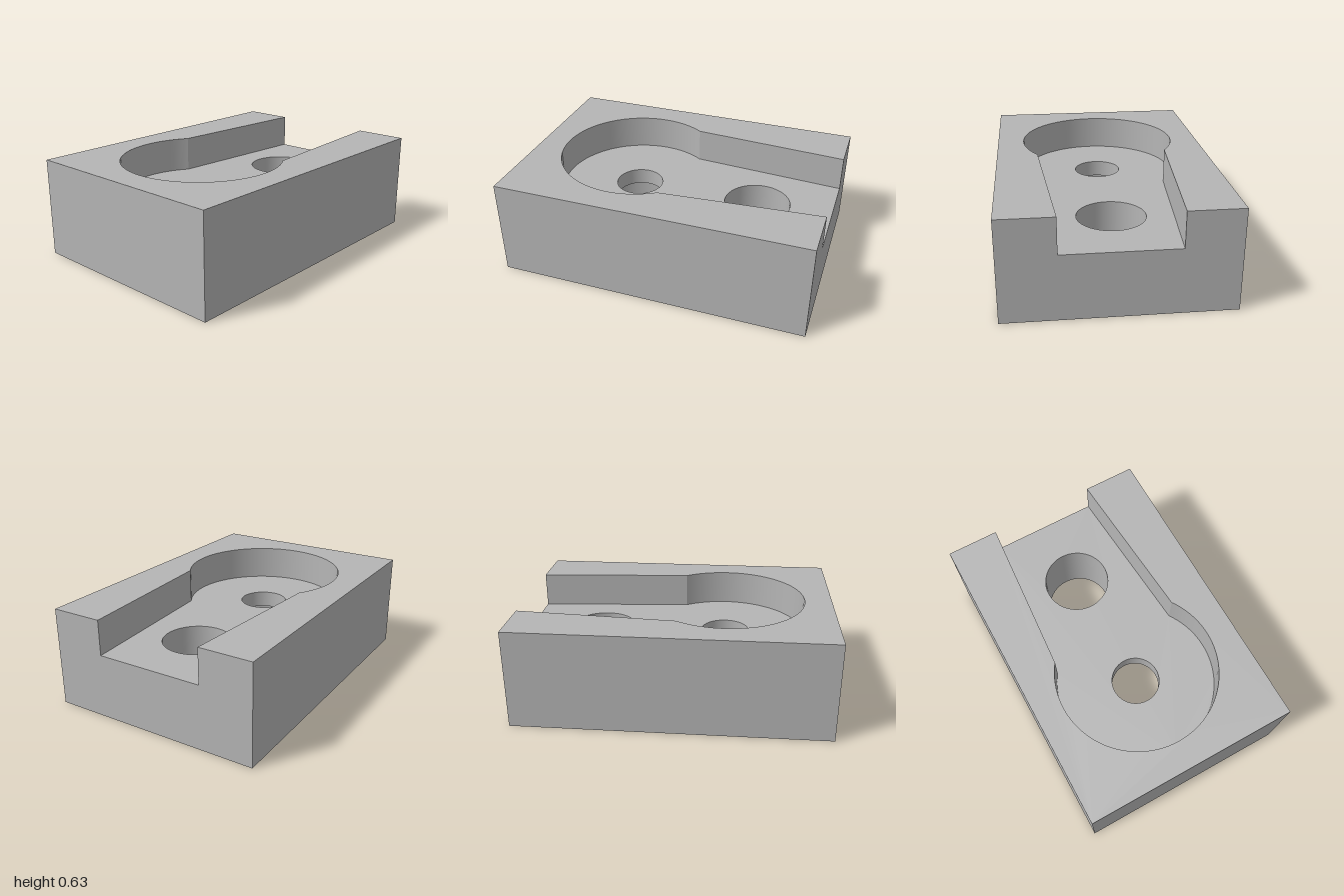
import * as THREE from 'three';

// Block size and pocket layout
const W = 1, D = 0.69, H = 0.635, FLOOR = 0.41;
const CX = -0.31, R = 0.515;              // round end of the pocket
const JX = -0.02, JZ = Math.sqrt(R * R - (JX - CX) ** 2); // where channel meets round end
const EZ = 0.35;                          // channel half width at the open end
const SMALL = 0.155, BORE = 0.317, BORE_TOP = 0.302;
const HX = 0.515, HR = 0.215;             // plain through hole
const SEG = 64;

export function createModel() {
  const model = new THREE.Group();
  model.name = 'pocketedBlock';
  const grey = new THREE.MeshStandardMaterial({ name: 'grey', color: 0xb5b5b5 });

  const add = (name, geometry) => {
    const mesh = new THREE.Mesh(geometry, grey);
    mesh.name = name;
    model.add(mesh);
  };

  // Upright rectangle from a to b, left to right as seen from its front
  const wall = (name, [ax, az], [bx, bz], y0, y1) => {
    const g = new THREE.PlaneGeometry(Math.hypot(bx - ax, bz - az), y1 - y0);
    g.rotateY(Math.atan2(az - bz, bx - ax));
    g.translate((ax + bx) / 2, (y0 + y1) / 2, (az + bz) / 2);
    add(name, g);
  };

  // Turned surface between two (radius, y) points; descending faces inward
  const turned = (name, x, from, to, start = 0, length = Math.PI * 2) => {
    const g = new THREE.LatheGeometry(
      [new THREE.Vector2(...from), new THREE.Vector2(...to)], SEG, start, length);
    g.translate(x, 0, 0);
    add(name, g);
  };

  // Horizontal face at height y
  const level = (name, shape, y, up) => {
    const g = new THREE.ShapeGeometry(shape, SEG / 2);
    g.rotateX(up ? -Math.PI / 2 : Math.PI / 2);
    g.translate(0, y, 0);
    add(name, g);
  };

  const polygon = (points) => new THREE.Shape(points.map((p) => new THREE.Vector2(...p)));
  const punch = (shape, x, r) => {
    shape.holes.push(new THREE.Path().absarc(x, 0, r, 0, Math.PI * 2, true));
  };

  // Outer sides
  wall('frontSide', [-W, D], [W, D], 0, H);
  wall('backSide', [W, -D], [-W, -D], 0, H);
  wall('closedEnd', [-W, -D], [-W, D], 0, H);
  const end = new THREE.ShapeGeometry(polygon([
    [-D, 0], [D, 0], [D, H], [EZ, H], [EZ, FLOOR], [-EZ, FLOOR], [-EZ, H], [-D, H],
  ]));
  end.rotateY(Math.PI / 2);
  end.translate(W, 0, 0);
  add('notchedEnd', end);

  // Rim around the keyhole pocket
  const a = Math.atan2(JZ, JX - CX);
  const rim = new THREE.Shape();
  rim.moveTo(-W, -D).lineTo(W, -D).lineTo(W, -EZ).lineTo(JX, -JZ);
  rim.absarc(CX, 0, R, -a, a, true);
  rim.lineTo(W, EZ).lineTo(W, D).lineTo(-W, D);
  level('topRim', rim, H, true);

  // Pocket floor with both holes
  const floor = new THREE.Shape();
  floor.moveTo(W, -EZ).lineTo(W, EZ).lineTo(JX, JZ);
  floor.absarc(CX, 0, R, a, Math.PI * 2 - a, false);
  punch(floor, CX, SMALL);
  punch(floor, HX, HR);
  level('pocketFloor', floor, FLOOR, true);

  // Pocket walls
  const phi = Math.PI / 2 - a;
  turned('pocketRoundWall', CX, [R, H], [R, FLOOR], Math.PI - phi, Math.PI + 2 * phi);
  wall('channelBackWall', [JX, -JZ], [W, -EZ], FLOOR, H);
  wall('channelFrontWall', [W, EZ], [JX, JZ], FLOOR, H);

  // Underside
  const base = polygon([[-W, -D], [W, -D], [W, D], [-W, D]]);
  punch(base, CX, BORE);
  punch(base, HX, HR);
  level('underside', base, 0, false);

  // Plain hole, and small hole widened from below
  turned('throughHole', HX, [HR, FLOOR], [HR, 0]);
  turned('smallHole', CX, [SMALL, FLOOR], [SMALL, BORE_TOP]);
  turned('counterboreCeiling', CX, [SMALL, BORE_TOP], [BORE, BORE_TOP]);
  turned('counterboreWall', CX, [BORE, BORE_TOP], [BORE, 0]);

  return model;
}
